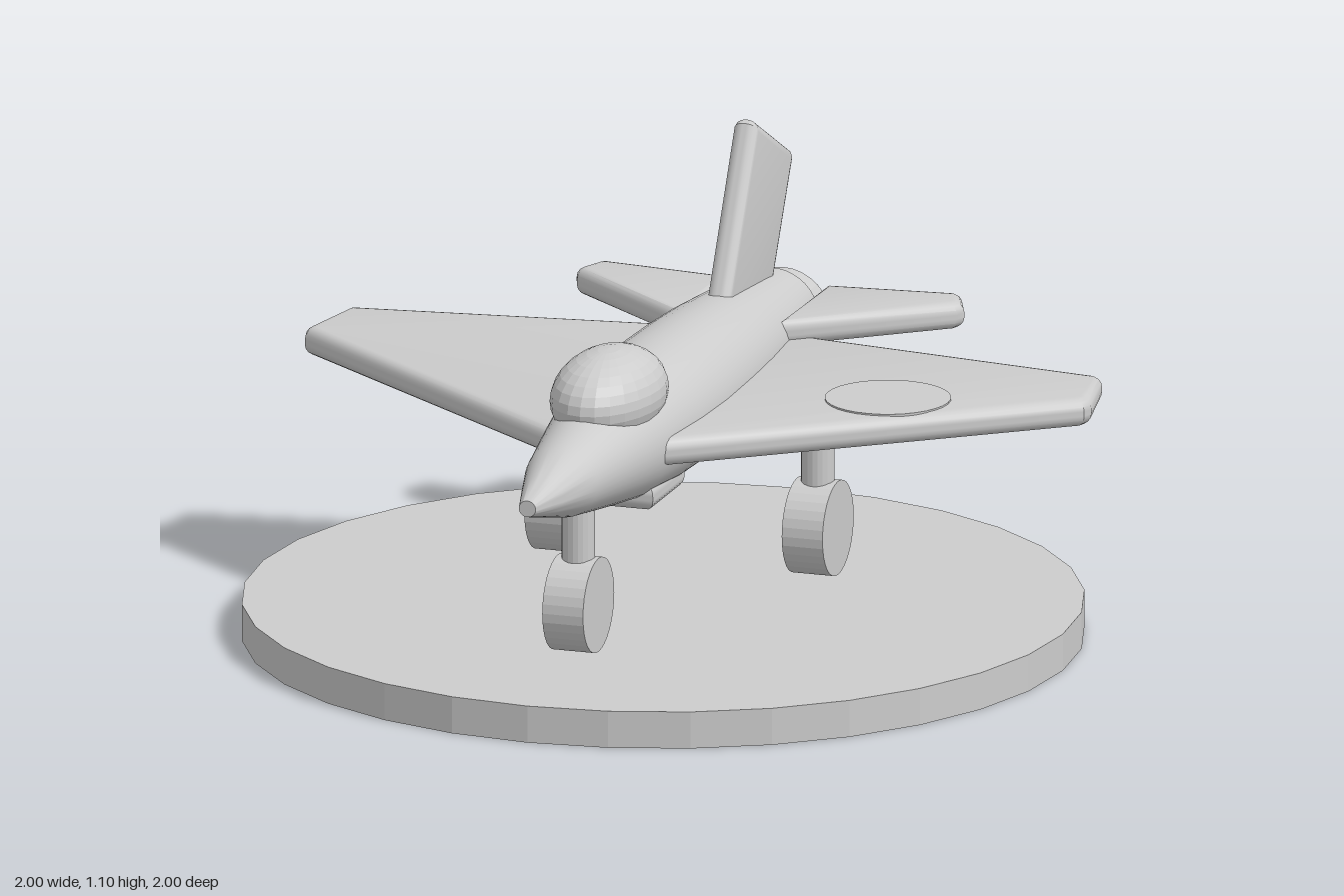
import * as THREE from 'three';
import { toCreasedNormals } from 'three/addons/utils/BufferGeometryUtils.js';

export function createModel() {
  const model = new THREE.Group();
  model.name = 'jetOnStand';

  const grey = new THREE.MeshStandardMaterial({ color: 0xcccccc });
  grey.name = 'light grey';

  const add = (name, geometry, x = 0, y = 0, z = 0) => {
    const mesh = new THREE.Mesh(geometry, grey);
    mesh.name = name;
    mesh.position.set(x, y, z);
    model.add(mesh);
    return mesh;
  };

  // Faceted normals baked into the geometry
  const flat = (geometry) => {
    const g = geometry.toNonIndexed();
    g.computeVertexNormals();
    return g;
  };

  // Round-edged plate whose outer outline passes through the points, centred in its thickness
  const plate = (points, thickness) => {
    const r = thickness * 0.42;
    const shape = new THREE.Shape(points.map(([a, b]) => new THREE.Vector2(a, b)));
    const depth = thickness - 2 * r;
    const g = new THREE.ExtrudeGeometry(shape, {
      depth, bevelEnabled: true, bevelThickness: r, bevelSize: r, bevelOffset: -r, bevelSegments: 4,
    });
    g.translate(0, 0, -depth / 2);
    return toCreasedNormals(g, 0.6);
  };

  // Horizontal plate from [x, z] points
  const flatPlate = (points, thickness) =>
    plate(points.map(([x, z]) => [x, -z]), thickness).rotateX(-Math.PI / 2);

  // Stand
  add('stand', flat(new THREE.CylinderGeometry(1, 1, 0.09, 32)), 0, 0.045, 0);

  // Fuselage: [radius, z] profile from tail to nose
  const profile = [
    [0, -0.8], [0.112, -0.8], [0.127, -0.65], [0.14, -0.5], [0.152, -0.35], [0.16, -0.18],
    [0.165, 0.03], [0.16, 0.2], [0.143, 0.4], [0.128, 0.5], [0.112, 0.6],
    [0.087, 0.75], [0.05, 0.89], [0.02, 1], [0, 1],
  ].map(([r, z]) => new THREE.Vector2(r, z));
  const body = new THREE.LatheGeometry(profile, 40).rotateX(Math.PI / 2).scale(1.05, 1, 1);
  add('fuselage', toCreasedNormals(body, 0.6), 0, 0.575, 0);

  // Canopy
  const bubble = new THREE.SphereGeometry(1, 24, 16).scale(0.13, 0.112, 0.216);
  add('canopy', flat(bubble), 0, 0.698, 0.397);

  // Exhaust
  add('exhaust', flat(new THREE.CylinderGeometry(0.12, 0.12, 0.425, 32).rotateX(Math.PI / 2)), 0, 0.545, -0.672);

  // Belly intake
  add('intake', flatPlate([[-0.11, 0.4], [0.11, 0.4], [0.11, 0.165], [-0.11, 0.165]], 0.066), 0, 0.448, 0);

  // Wings
  for (const side of [1, -1]) {
    const mirror = (points) => points.map(([x, z]) => [x * side, z]);
    const label = side > 0 ? 'left' : 'right';
    add(label + 'Wing', flatPlate(mirror([
      [0.05, 0.49], [0.13, 0.43], [0.975, -0.23], [0.983, -0.26], [0.945, -0.45], [0.93, -0.462], [0.05, -0.58],
    ]), 0.068), 0, 0.567, 0);
    // Tailplanes
    add(label + 'Tailplane', flatPlate(mirror([
      [0.12, -0.482], [0.475, -0.762], [0.485, -0.79], [0.457, -0.858], [0.44, -0.872], [0.12, -0.838],
    ]), 0.066), 0, 0.617, 0);
  }

  // Tail fin, drawn in [z, y]
  const fin = plate([
    [-0.34, 0.6], [-0.598, 1.095], [-0.615, 1.1], [-0.875, 0.96], [-0.883, 0.94], [-0.695, 0.6],
  ], 0.06).rotateY(-Math.PI / 2);
  add('tailFin', fin);

  // Round wing marking
  add('wingDisc', new THREE.CylinderGeometry(0.15, 0.15, 0.008, 32), 0.53, 0.601, -0.095);

  // Landing gear
  const tyre = flat(new THREE.CylinderGeometry(0.115, 0.115, 0.102, 32).rotateZ(Math.PI / 2));
  const leg = flat(new THREE.CylinderGeometry(0.04, 0.04, 0.185, 20));
  for (const [label, x, z] of [['nose', 0, 0.625], ['left', 0.322, -0.19], ['right', -0.322, -0.19]]) {
    add(label + 'Wheel', tyre, x, 0.243, z);
    add(label + 'Strut', leg, x, 0.393, z);
  }

  return model;
}
